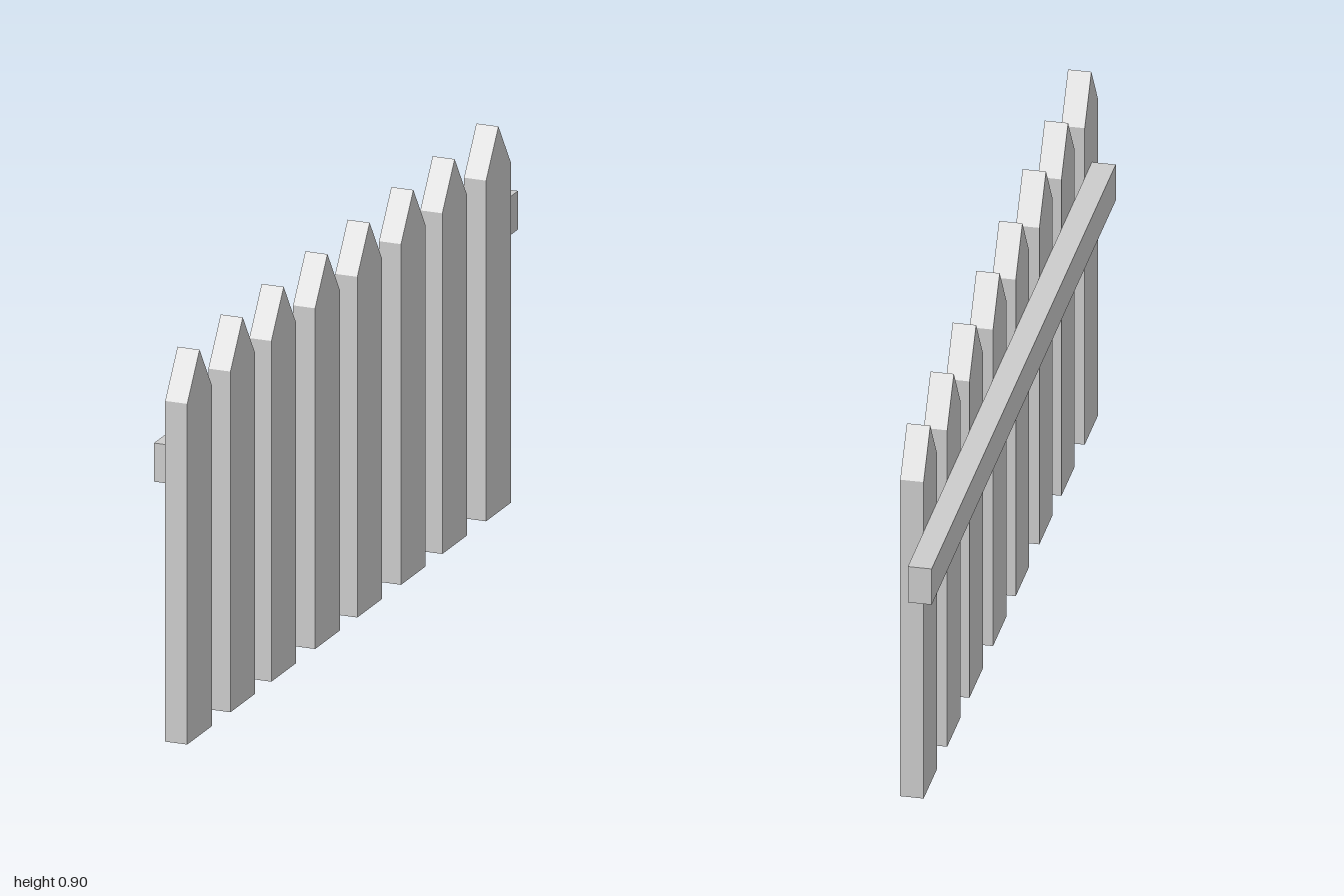
import * as THREE from 'three';

export function createModel() {
  const group = new THREE.Group();
  group.name = 'picketFence';
  const material = new THREE.MeshStandardMaterial({ color: 0xcccccc, flatShading: true });

  // Pointed board outline, extruded to its thickness and turned to face +x
  const halfWidth = 0.07, shoulder = 0.795, tip = 0.9, thickness = 0.053;
  const outline = new THREE.Shape([
    new THREE.Vector2(-halfWidth, 0),
    new THREE.Vector2(halfWidth, 0),
    new THREE.Vector2(halfWidth, shoulder),
    new THREE.Vector2(0, tip),
    new THREE.Vector2(-halfWidth, shoulder),
  ]);
  const picketGeometry = new THREE.ExtrudeGeometry(outline, { depth: thickness, bevelEnabled: false });
  picketGeometry.rotateY(Math.PI / 2);

  // Slightly uneven row of pickets
  const centres = [0.93, 0.685, 0.453, 0.205, -0.034, -0.282, -0.516, -0.764];
  centres.forEach((z, i) => {
    const picket = new THREE.Mesh(picketGeometry, material);
    picket.name = `picket${i + 1}`;
    picket.position.z = z;
    group.add(picket);
  });

  // Rail behind the pickets, running past the last one
  const railFront = 0.936, railBack = -1;
  const rail = new THREE.Mesh(new THREE.BoxGeometry(0.054, 0.09, railFront - railBack), material);
  rail.name = 'rail';
  rail.position.set(-0.027, 0.625, (railFront + railBack) / 2);
  group.add(rail);

  return group;
}
